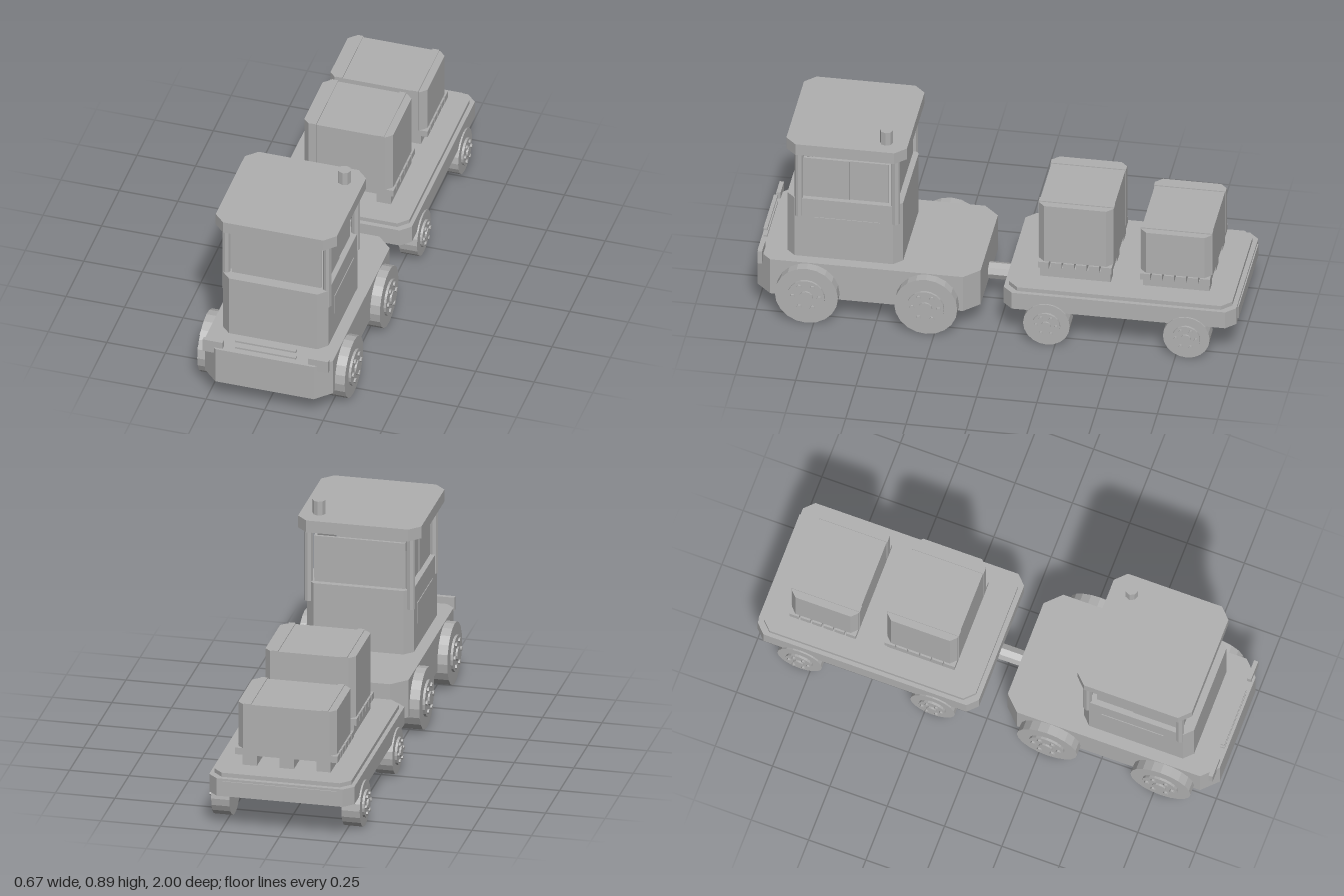
import * as THREE from 'three';

const grey = new THREE.MeshStandardMaterial({ color: 0xb0b0b0 });
grey.name = 'plain grey';

// Adds a named mesh to a parent
function add(parent, name, geometry, x = 0, y = 0, z = 0) {
  const flat = geometry.index ? geometry.toNonIndexed() : geometry;
  flat.computeVertexNormals();
  const mesh = new THREE.Mesh(flat, grey);
  mesh.name = name;
  mesh.position.set(x, y, z);
  parent.add(mesh);
  return mesh;
}

// Box given by its lower and upper limits
function block(parent, name, [x0, x1], [y0, y1], [z0, z1]) {
  return add(parent, name, new THREE.BoxGeometry(x1 - x0, y1 - y0, z1 - z0),
    (x0 + x1) / 2, (y0 + y1) / 2, (z0 + z1) / 2);
}

// Upright block with chamfered vertical corners, centred on x = 0
function slab(parent, name, w, [y0, y1], [z0, z1], c) {
  const d = (z1 - z0) / 2;
  const s = new THREE.Shape([
    [w - c, -d], [w, -d + c], [w, d - c], [w - c, d],
    [-w + c, d], [-w, d - c], [-w, -d + c], [-w + c, -d],
  ].map(([x, y]) => new THREE.Vector2(x, y)));
  const g = new THREE.ExtrudeGeometry(s, { depth: y1 - y0, bevelEnabled: false });
  g.rotateX(-Math.PI / 2);
  return add(parent, name, g, 0, y0, (z0 + z1) / 2);
}

// Cylinder lying along x, from x0 to x1
function disc(parent, name, r, x0, x1, y, z, sides) {
  const g = new THREE.CylinderGeometry(r, r, x1 - x0, sides).rotateZ(Math.PI / 2);
  return add(parent, name, g, (x0 + x1) / 2, y, z);
}

// Wheel with hub, cap and a ring of six bolts, facing +x or -x
function wheel(parent, side, z, r, hubR, x0, x1) {
  const g = new THREE.Group();
  g.name = 'wheel';
  disc(g, 'tyre', r, x0, x1, 0, 0, 20);
  disc(g, 'hub', hubR, x1 - 0.01, x1 + 0.01, 0, 0, 20);
  disc(g, 'hubCap', hubR * 0.38, x1, x1 + 0.018, 0, 0, 12);
  for (let i = 0; i < 6; i++) {
    const a = (i * Math.PI) / 3;
    disc(g, 'bolt', hubR * 0.14, x1, x1 + 0.018,
      Math.sin(a) * hubR * 0.72, Math.cos(a) * hubR * 0.72, 6);
  }
  g.position.set(0, r, z);
  if (side < 0) g.rotation.y = Math.PI;
  parent.add(g);
}

// Pallet and strapped crate
function load(parent, w, [z0, z1], top) {
  const g = new THREE.Group();
  g.name = 'palletLoad';
  for (const x of [-0.155, 0, 0.155]) {
    block(g, 'palletRunner', [x - 0.03, x + 0.03], [0.245, 0.296], [z0 + 0.01, z1 - 0.01]);
  }
  const n = 6, pitch = (z1 - z0) / n;
  for (let i = 0; i < n; i++) {
    const a = z0 + i * pitch;
    block(g, 'palletSlat', [-w - 0.008, w + 0.008], [0.296, 0.325], [a + 0.004, a + pitch - 0.004]);
  }
  slab(g, 'crate', w, [0.325, top - 0.004], [z0 + 0.003, z1 - 0.003], 0.025);
  for (const x of [-w + 0.045, w - 0.045]) {
    block(g, 'crateStrap', [x - 0.014, x + 0.014], [0.325, top], [z0, z1]);
  }
  parent.add(g);
}

export function createModel() {
  const model = new THREE.Group();
  model.name = 'tractorWithTrailer';

  // Tractor chassis and cab
  const tractor = new THREE.Group();
  tractor.name = 'tractor';
  model.add(tractor);
  slab(tractor, 'chassis', 0.273, [0.1, 0.265], [0.075, 1], 0.063);
  slab(tractor, 'lowerCab', 0.225, [0.265, 0.545], [0.4, 0.88], 0.036);
  slab(tractor, 'roof', 0.259, [0.775, 0.827], [0.38, 0.88], 0.045);

  // Front and rear windows
  block(tractor, 'frontWindow', [-0.19, 0.19], [0.545, 0.745], [0.822, 0.834]);
  block(tractor, 'rearWindow', [-0.19, 0.19], [0.545, 0.745], [0.424, 0.436]);

  // Side windows, door panels, pillars, lamps
  for (const s of [-1, 1]) {
    const span = (a, b) => (s > 0 ? [a, b] : [-b, -a]);
    block(tractor, 'sideWindowFront', span(0.192, 0.204), [0.545, 0.73], [0.621, 0.812]);
    block(tractor, 'sideWindowRear', span(0.19, 0.201), [0.545, 0.73], [0.46, 0.621]);
    block(tractor, 'doorPanel', span(0.224, 0.228), [0.37, 0.46], [0.49, 0.76]);
    for (const z of [0.828, 0.426]) {
      add(tractor, 'pillar', new THREE.CylinderGeometry(0.018, 0.018, 0.315, 8), s * 0.215, 0.6175, z);
    }
    block(tractor, 'headlamp', span(0.183, 0.268), [0.237, 0.295], [0.972, 0.99]);
    for (const z of [0.78, 0.285]) wheel(tractor, s, z, 0.131, 0.077, 0.217, 0.315);
  }

  // Grille bars and exhaust
  for (const y of [0.283, 0.315]) {
    block(tractor, 'grilleBar', [-0.13, 0.13], [y - 0.004, y + 0.004], [0.974, 0.99]);
  }
  add(tractor, 'exhaust', new THREE.CylinderGeometry(0.027, 0.027, 0.065, 8), 0.181, 0.855, 0.47);

  // Tow bar
  const bar = new THREE.CylinderGeometry(0.036, 0.036, 0.2, 8).rotateX(Math.PI / 2);
  add(model, 'towBar', bar, 0, 0.135, 0.03);

  // Trailer
  const trailer = new THREE.Group();
  trailer.name = 'trailer';
  model.add(trailer);
  slab(trailer, 'trailerBed', 0.305, [0.155, 0.232], [-0.995, -0.03], 0.04);
  slab(trailer, 'trailerDeck', 0.288, [0.232, 0.25], [-0.975, -0.05], 0.04);
  block(trailer, 'rearPanel', [-0.24, 0.24], [0.168, 0.222], [-1, -0.994]);
  for (const s of [-1, 1]) {
    for (const z of [-0.215, -0.795]) wheel(trailer, s, z, 0.097, 0.058, 0.235, 0.312);
  }
  load(trailer, 0.19, [-0.47, -0.157], 0.597);
  load(trailer, 0.207, [-0.88, -0.583], 0.524);

  return model;
}
